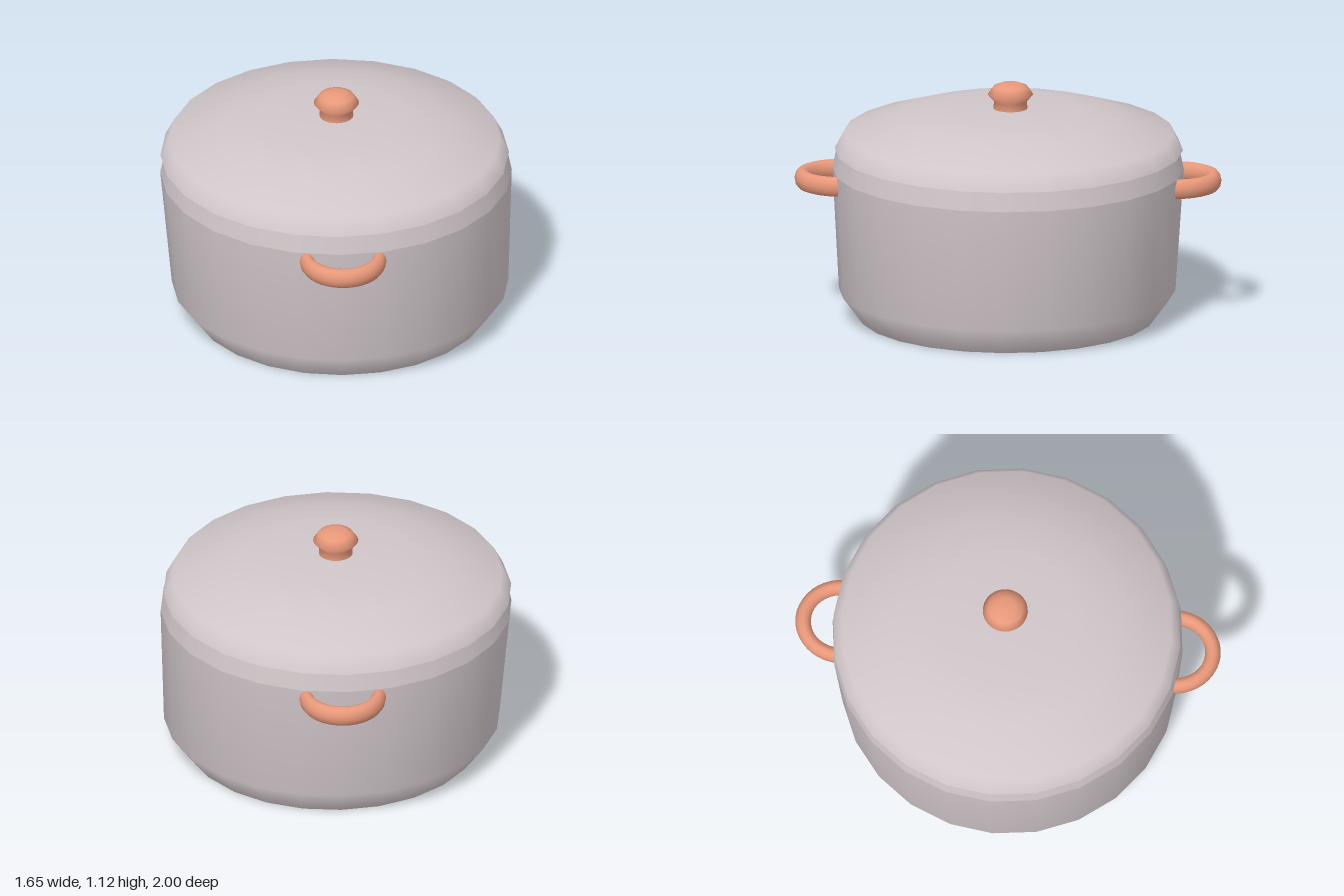
import * as THREE from 'three';

const SIDES = 24;
const steel = new THREE.MeshStandardMaterial({ color: 0xd0c6c9 });
const copper = new THREE.MeshStandardMaterial({ color: 0xe8987a });

// Turned part made of smooth bands; each band starts with its own hard edge.
function turned(name, material, bands, adjust) {
  const group = new THREE.Group();
  group.name = name;
  bands.forEach((band, i) => {
    const points = band.map(([r, y]) => new THREE.Vector2(r, y));
    const geometry = new THREE.LatheGeometry(points, SIDES);
    if (adjust) adjust(geometry.attributes.position);
    const mesh = new THREE.Mesh(geometry, material);
    mesh.name = name + 'Band' + (i + 1);
    group.add(mesh);
  });
  return group;
}

// The lower part of the pot leans slightly to one side.
function lean(position) {
  for (let i = 0; i < position.count; i++) {
    if (position.getY(i) < 0.2) {
      position.setX(i, position.getX(i) + 0.019);
      position.setZ(i, position.getZ(i) + 0.004);
    }
  }
}

// Half-ring handle with a tall oval section.
function handle(name, side) {
  const geometry = new THREE.TorusGeometry(0.17, 0.034, 12, 20, Math.PI);
  geometry.scale(1, 1.078, 1.4);
  geometry.rotateX(Math.PI / 2);
  const mesh = new THREE.Mesh(geometry, copper);
  mesh.name = name;
  mesh.position.set(0.02, 0.662, side * 0.78);
  if (side < 0) mesh.rotation.y = Math.PI;
  return mesh;
}

export function createModel() {
  const model = new THREE.Group();
  model.name = 'cookingPot';

  // Pot: flat base, flared wall, narrow rim band
  model.add(turned('pot', steel, [
    [[0, 0], [0.693, 0]],
    [[0.693, 0], [0.788, 0.13], [0.823, 0.71]],
    [[0.823, 0.71], [0.803, 0.805]],
  ], lean));

  // Lid: underside, then rim and shallow dome up to a flat top
  const lid = turned('lid', steel, [
    [[0, 0.8], [0.816, 0.8]],
    [[0.816, 0.8], [0.774, 0.88], [0.535, 0.957], [0.329, 1], [0, 1]],
  ]);
  lid.position.set(-0.006, 0, -0.003);
  model.add(lid);

  // Knob
  const knob = turned('knob', copper, [
    [[0.08, 0.995], [0.077, 1.035], [0.106, 1.068], [0.08, 1.106], [0.045, 1.12], [0, 1.121]],
  ]);
  knob.position.set(0.002, 0, -0.011);
  model.add(knob);

  model.add(handle('frontHandle', 1), handle('backHandle', -1));
  return model;
}
